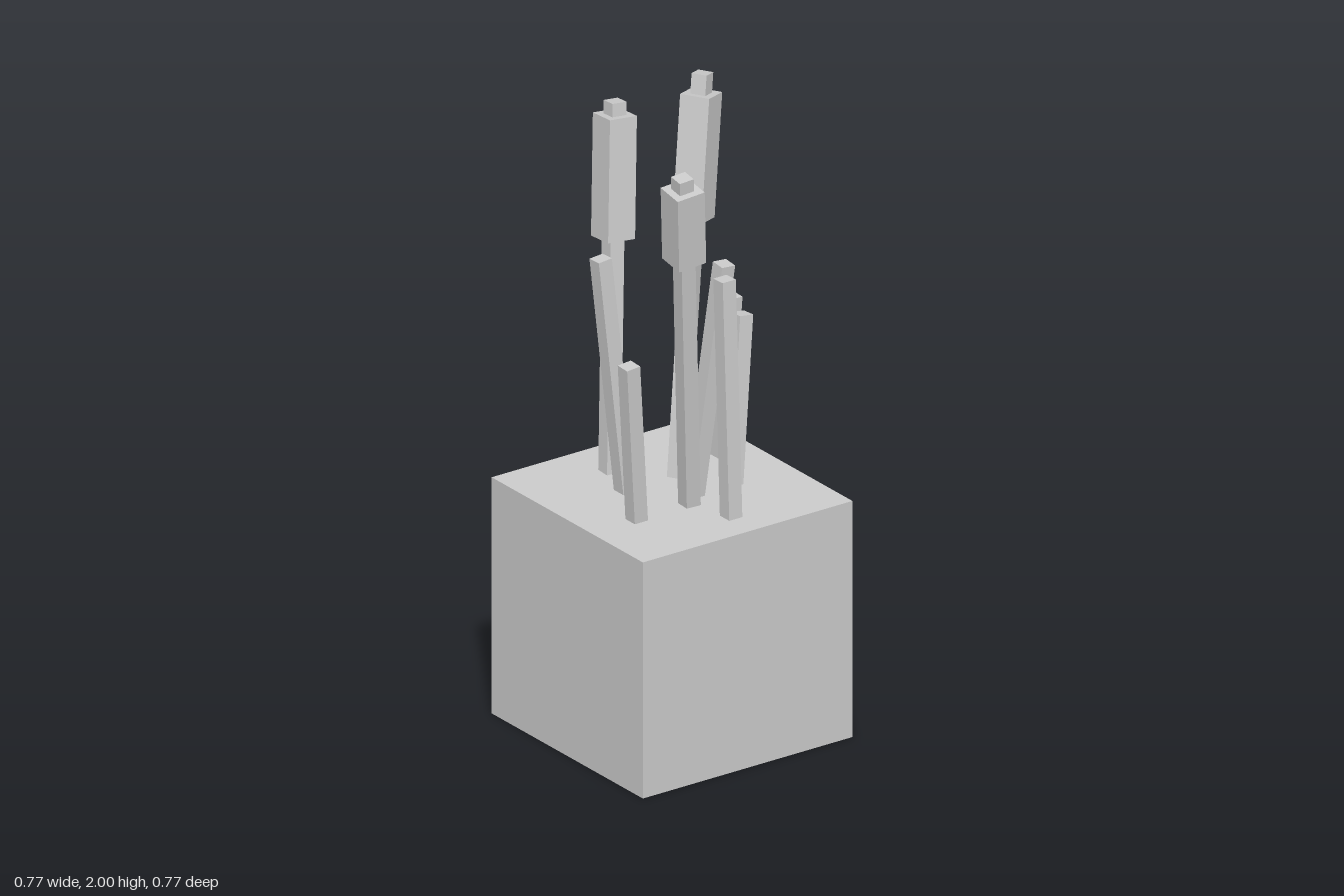
import * as THREE from 'three';

const material = new THREE.MeshStandardMaterial({ color: 0xcccccc, flatShading: true });
const UP = new THREE.Vector3(0, 1, 0);
const BLOCK = 0.768;

// Square bar whose axis runs from one point to another, turned by yaw about that axis
function bar(name, from, to, width, yaw = 0) {
  const dir = to.clone().sub(from);
  const mesh = new THREE.Mesh(new THREE.BoxGeometry(width, dir.length(), width), material);
  mesh.name = name;
  mesh.position.copy(from).add(to).multiplyScalar(0.5);
  mesh.quaternion.setFromUnitVectors(UP, dir.normalize());
  mesh.rotateY(yaw);
  return mesh;
}

export function createModel() {
  const model = new THREE.Group();

  // Ground block
  const block = new THREE.Mesh(new THREE.BoxGeometry(BLOCK, BLOCK, BLOCK), material);
  block.name = 'groundBlock';
  block.position.y = BLOCK / 2;
  model.add(block);

  // Plain reeds: base x, z, then top x, y, z
  const reeds = [
    [-0.12, -0.266, -0.098, 1.288, -0.288],
    [0.071, -0.169, 0.027, 1.288, -0.237],
    [0.072, -0.027, 0.138, 1.528, -0.091],
    [0.264, -0.026, 0.231, 1.528, -0.026],
    [-0.073, 0.119, -0.106, 1.528, 0.185],
    [0.12, 0.216, 0.143, 1.288, 0.261],
  ];
  for (const [bx, bz, tx, ty, tz] of reeds) {
    const top = new THREE.Vector3(tx, ty, tz);
    const base = new THREE.Vector3(bx, BLOCK, bz);
    base.lerp(top, -0.08); // root the stem in the block
    model.add(bar('reed', base, top, 0.048));
  }

  // Cattails: base x, z, tip x, y, z, height of head bottom and top, yaw
  const cattails = [
    { base: [-0.217, 0.072], tip: [-0.325, 1.907, -0.026], head: [1.487, 1.866], yaw: -0.06 },
    { base: [-0.073, -0.074], tip: [-0.178, 1.996, -0.24], head: [1.552, 1.934], yaw: 0.52 },
    { base: [0.119, 0.022], tip: [0.248, 1.906, 0.141], head: [1.618, 1.864], yaw: -0.06 },
  ];
  for (const { base, tip, head, yaw } of cattails) {
    const cattail = new THREE.Group();
    cattail.name = 'cattail';
    const foot = new THREE.Vector3(base[0], BLOCK, base[1]);
    const top = new THREE.Vector3(...tip);
    const at = (y) => foot.clone().lerp(top, (y - BLOCK) / (top.y - BLOCK));
    cattail.add(bar('stem', at(BLOCK - 0.06), top, 0.049, yaw));
    cattail.add(bar('seedHead', at(head[0]), at(head[1]), 0.095, yaw));
    model.add(cattail);
  }
  return model;
}
